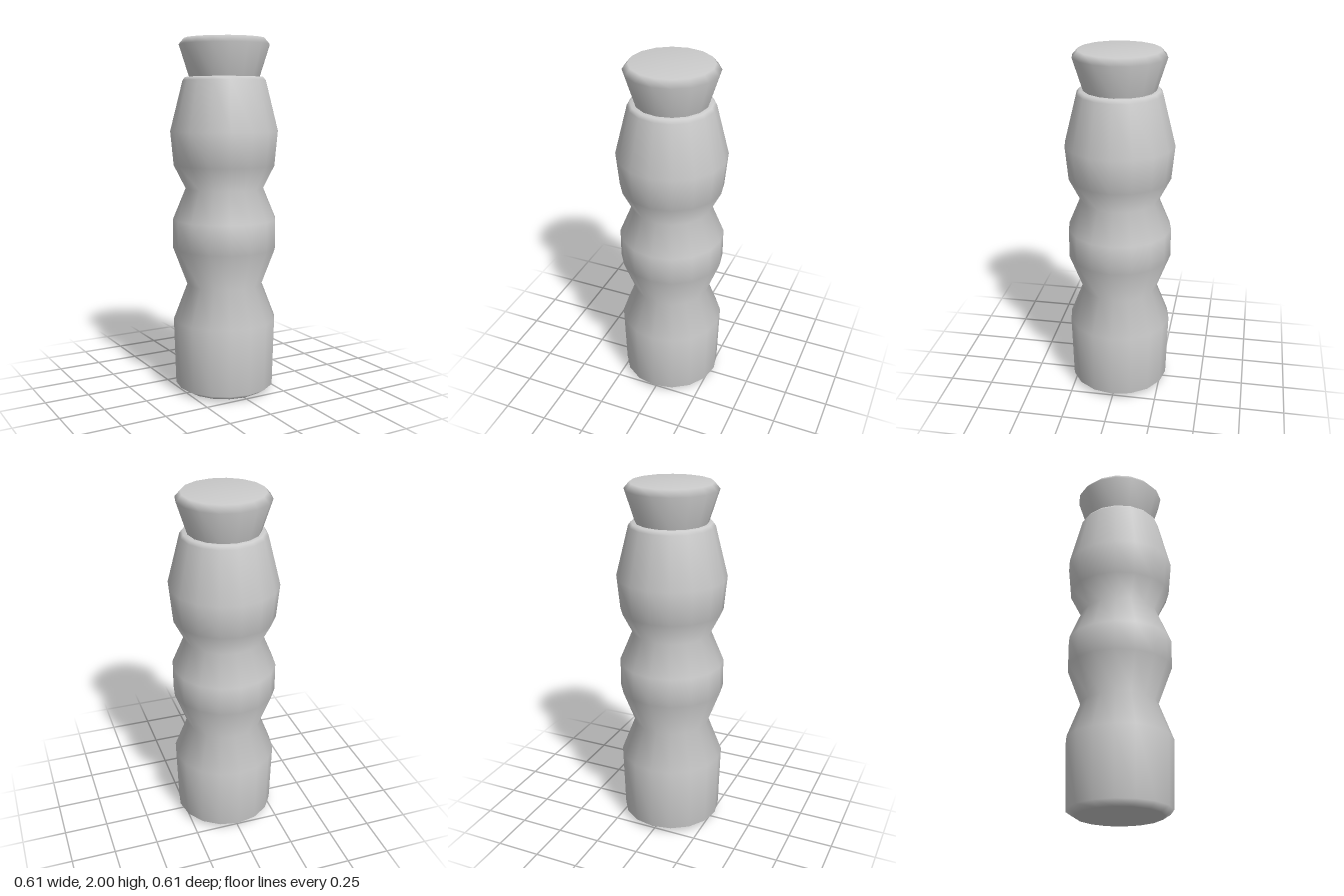
import * as THREE from 'three';

const SIDES = 16;

// Turned part from [radius, height] pairs, listed bottom to top
function turned(name, profile) {
  const points = profile.map(([r, y]) => new THREE.Vector2(r, y));
  const mesh = new THREE.Mesh(
    new THREE.LatheGeometry(points, SIDES),
    new THREE.MeshStandardMaterial({ color: 0xcccccc })
  );
  mesh.name = name;
  return mesh;
}

export function createModel() {
  const group = new THREE.Group();
  group.name = 'bottle';

  // Body with two pinched waists and a bevelled foot
  group.add(turned('body', [
    [0, 0], [0.237, 0.005], [0.283, 0.035],
    [0.294, 0.415], [0.215, 0.62], [0.294, 0.83],
    [0.294, 0.995], [0.221, 1.17], [0.287, 1.3],
    [0.305, 1.49], [0.234, 1.77], [0.22, 1.788], [0.19, 1.79],
  ]));

  // Flared stopper with a bevelled rim
  group.add(turned('stopper', [
    [0.195, 1.78], [0.254, 1.965], [0.224, 2], [0, 2],
  ]));

  return group;
}
